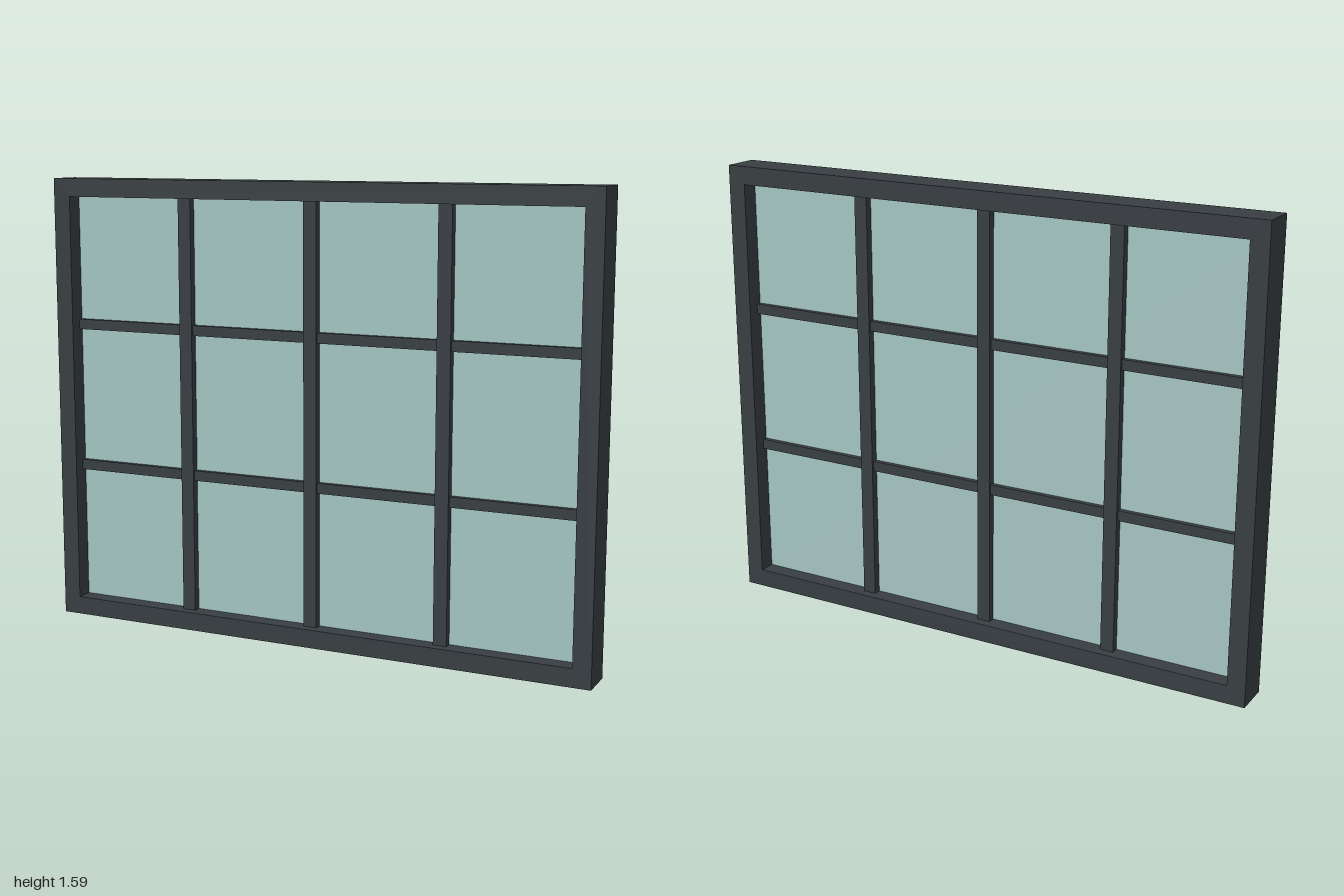
import * as THREE from 'three';

const W = 2, H = 1.59, DEPTH = 0.13, BORDER = 0.064;

export function createModel() {
  const group = new THREE.Group();
  group.name = 'griddedWindow';

  const frameMat = new THREE.MeshStandardMaterial({ color: 0x383e42 });
  frameMat.name = 'anthracite';
  const glassMat = new THREE.MeshStandardMaterial({ color: 0xa5c6c2 });
  glassMat.name = 'paleGreenGlass';

  const add = (name, geometry, material, x, y, z) => {
    const mesh = new THREE.Mesh(geometry, material);
    mesh.name = name;
    mesh.position.set(x, y, z);
    group.add(mesh);
  };
  const rectangle = (path, x0, y0, x1, y1) =>
    path.moveTo(x0, y0).lineTo(x1, y0).lineTo(x1, y1).lineTo(x0, y1).closePath();

  // Outer frame: one extruded rectangle with a rectangular opening
  const outline = new THREE.Shape();
  rectangle(outline, -W / 2, 0, W / 2, H);
  const opening = new THREE.Path();
  rectangle(opening, -W / 2 + BORDER, BORDER, W / 2 - BORDER, H - BORDER);
  outline.holes.push(opening);
  add('outerFrame', new THREE.ExtrudeGeometry(outline, { depth: DEPTH, bevelEnabled: false }),
    frameMat, 0, 0, -DEPTH / 2);

  // Glass sheet at mid depth
  const innerW = W - 2 * BORDER, innerH = H - 2 * BORDER;
  add('glass', new THREE.BoxGeometry(innerW, innerH, 0.01), glassMat, 0, H / 2, 0);

  // Upright bars, sitting slightly off centre
  for (const x of [-0.49, -0.01, 0.47]) {
    add('uprightBar', new THREE.BoxGeometry(0.048, innerH, 0.064), frameMat, x, H / 2, 0);
  }

  // Thinner, shallower crossbars
  for (const y of [0.555, 1.07]) {
    add('crossbar', new THREE.BoxGeometry(innerW, 0.036, 0.046), frameMat, 0, y, 0);
  }

  return group;
}
